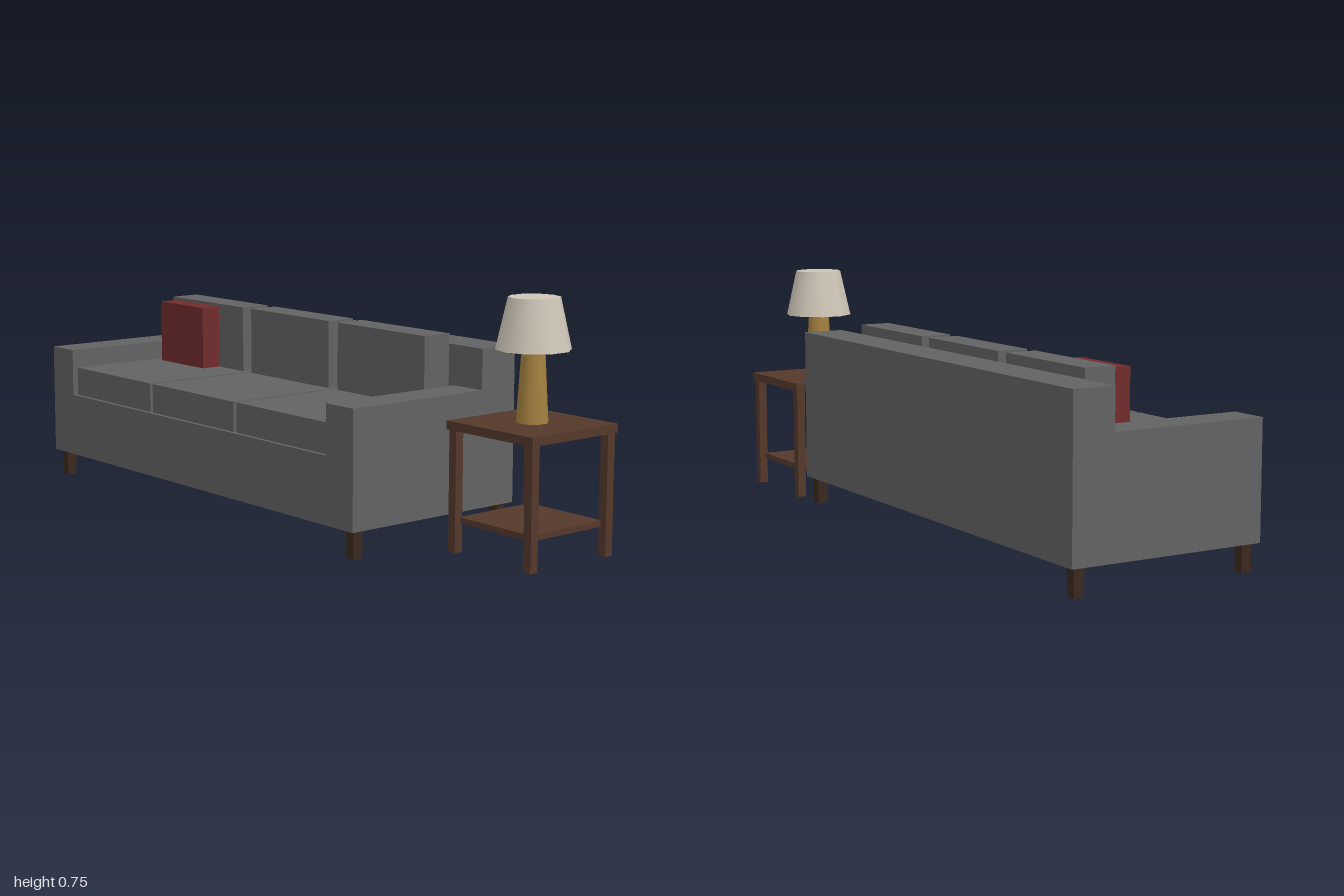
import * as THREE from 'three';

const mat = (name, color) => {
  const m = new THREE.MeshStandardMaterial({ color });
  m.name = name;
  return m;
};

export function createModel() {
  const fabric = mat('grey fabric', 0x626262);
  const red = mat('red fabric', 0x702c2c);
  const walnut = mat('walnut wood', 0x55382b);
  const darkWood = mat('dark wood', 0x3a291e);
  const brass = mat('brass', 0xa38040);
  const linen = mat('cream linen', 0xcdc5b6);

  const model = new THREE.Group();
  model.name = 'livingRoomSet';
  const sofa = new THREE.Group();
  sofa.name = 'sofa';
  const table = new THREE.Group();
  table.name = 'sideTable';
  const lamp = new THREE.Group();
  lamp.name = 'tableLamp';
  model.add(sofa, table, lamp);

  // box given by its limits on each axis
  const box = (parent, name, material, [x0, x1], [y0, y1], [z0, z1]) => {
    const mesh = new THREE.Mesh(new THREE.BoxGeometry(x1 - x0, y1 - y0, z1 - z0), material);
    mesh.position.set((x0 + x1) / 2, (y0 + y1) / 2, (z0 + z1) / 2);
    mesh.name = name;
    parent.add(mesh);
  };

  // sofa frame
  box(sofa, 'base', fabric, [-1, 0.583], [0.085, 0.29], [-0.183, 0.317]);
  box(sofa, 'backrest', fabric, [-1, 0.583], [0.085, 0.566], [-0.317, -0.183]);
  box(sofa, 'rightArm', fabric, [-1, -0.88], [0.29, 0.442], [-0.183, 0.317]);
  box(sofa, 'leftArm', fabric, [0.463, 0.583], [0.29, 0.442], [-0.183, 0.317]);

  // three seat and back cushions
  for (let i = 0; i < 3; i++) {
    const x = -0.655 + i * 0.4465;
    box(sofa, 'seatCushion', fabric, [x - 0.216, x + 0.216], [0.29, 0.383], [-0.183, 0.304]);
    box(sofa, 'backCushion', fabric, [x - 0.201, x + 0.201], [0.383, 0.597], [-0.183, -0.083]);
  }
  box(sofa, 'throwPillow', red, [-0.83, -0.588], [0.383, 0.588], [-0.083, -0.014]);

  // sofa feet
  for (const x of [-0.967, 0.55])
    for (const z of [-0.283, 0.283])
      box(sofa, 'sofaFoot', darkWood, [x - 0.0165, x + 0.0165], [0, 0.085], [z - 0.0165, z + 0.0165]);

  // side table
  const tx = 0.828, tz = -0.145;
  box(table, 'tableTop', walnut, [tx - 0.172, tx + 0.172], [0.36, 0.386], [tz - 0.172, tz + 0.172]);
  box(table, 'shelf', walnut, [tx - 0.145, tx + 0.145], [0.085, 0.103], [tz - 0.145, tz + 0.145]);
  for (const sx of [-1, 1])
    for (const sz of [-1, 1]) {
      const x = tx + sx * 0.152, z = tz + sz * 0.152;
      box(table, 'tableLeg', walnut, [x - 0.014, x + 0.014], [0, 0.36], [z - 0.014, z + 0.014]);
    }

  // ten-sided tapered lamp
  const taper = (name, material, rTop, rBottom, y0, y1) => {
    const mesh = new THREE.Mesh(new THREE.CylinderGeometry(rTop, rBottom, y1 - y0, 10), material);
    mesh.position.set(tx, (y0 + y1) / 2, tz);
    mesh.name = name;
    lamp.add(mesh);
  };
  taper('lampBase', brass, 0.034, 0.047, 0.386, 0.6);
  taper('lampShade', linen, 0.076, 0.11, 0.596, 0.746);

  return model;
}
